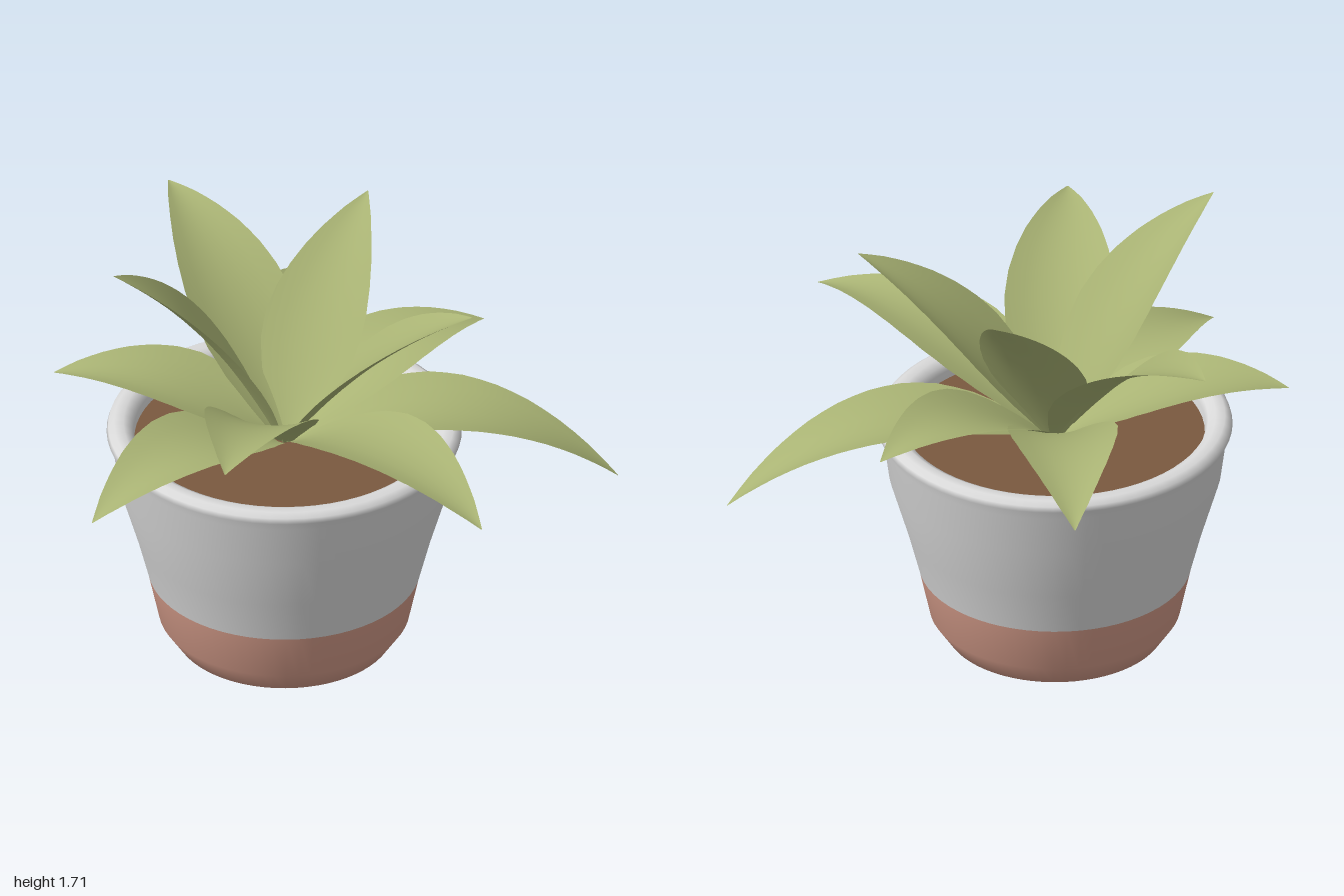
import * as THREE from 'three';

const CX = -0.15, CZ = -0.04; // pot axis

// Half widths from base to tip
const WIDTHS = [0.03, 0.1, 0.16, 0.195, 0.205, 0.195, 0.172, 0.14, 0.1, 0.055, 0.002];

// Leaf tips x, y, z, then height and horizontal fraction of the bend
const LEAVES = [
  [-0.66, 1.71, 0.39, 1.48, 0.4],
  [-0.84, 1.50, -0.62, 1.45, 0.45],
  [-0.05, 1.63, -0.63, 1.38, 0.42],
  [0.59, 1.555, -0.06, 1.37, 0.42],
  [-1.0, 1.06, 0.13, 1.18, 0.5],
  [0.87, 1.05, 0.55, 1.29, 0.5],
  [0.99, 0.69, -0.52, 1.19, 0.55],
  [-0.57, 0.91, 0.83, 1.17, 0.5],
  [0.01, 1.33, 0.96, 1.39, 0.48],
  [-0.42, 1.01, -0.97, 1.28, 0.5],
  [0.36, 1.09, -0.76, 1.24, 0.5],
];

// Arched blade with a shallow channel along its length
function leafGeometry([tx, ty, tz, bendY, bendF]) {
  const base = new THREE.Vector3(CX, 0.86, CZ - 0.01);
  const tip = new THREE.Vector3(tx, ty, tz);
  const dir = new THREE.Vector3(tx - base.x, 0, tz - base.z).normalize();
  base.addScaledVector(dir, 0.02);
  const bend = base.clone().lerp(tip, bendF).setY(bendY);
  const spine = new THREE.QuadraticBezierCurve3(base, bend, tip);
  const side = new THREE.Vector3(dir.z, 0, -dir.x);
  const rows = 20, cols = 6, pos = [], index = [];
  for (let i = 0; i <= rows; i++) {
    const t = i / rows, k = Math.min(t * 10, 9.9999), j = Math.floor(k);
    const half = THREE.MathUtils.lerp(WIDTHS[j], WIDTHS[j + 1], k - j);
    const p = spine.getPoint(t);
    const up = spine.getTangent(t).cross(side).normalize();
    for (let c = 0; c <= cols; c++) {
      const s = (c / cols) * 2 - 1;
      const v = p.clone().addScaledVector(side, s * half)
        .addScaledVector(up, half * 0.22 * (s * s - 0.3));
      pos.push(v.x, v.y, v.z);
      if (i < rows && c < cols) {
        const a = i * (cols + 1) + c, b = a + cols + 1;
        index.push(a, b, a + 1, b, b + 1, a + 1);
      }
    }
  }
  const g = new THREE.BufferGeometry();
  g.setAttribute('position', new THREE.Float32BufferAttribute(pos, 3));
  g.setIndex(index);
  g.computeVertexNormals();
  return g;
}

export function createModel() {
  const model = new THREE.Group();
  const material = (name, color) => {
    const m = new THREE.MeshStandardMaterial({ color });
    m.name = name;
    return m;
  };
  const glaze = material('pale grey glaze', 0xdadada);
  const clay = material('pink clay', 0xd29a88);
  const earth = material('brown soil', 0x7a593f);
  const green = material('leaf green', 0xa9b374);
  green.side = THREE.DoubleSide;

  const add = (name, geometry, mat) => {
    const mesh = new THREE.Mesh(geometry, mat);
    mesh.name = name;
    model.add(mesh);
    return mesh;
  };
  const lathe = (name, profile, mat) => {
    const points = profile.map(([r, y]) => new THREE.Vector2(r, y));
    add(name, new THREE.LatheGeometry(points, 64), mat).position.set(CX, 0, CZ);
  };

  // Pot: bare clay foot, glazed wall with rolled rim and inner lip
  lathe('potFoot', [[0, 0], [0.3, 0], [0.405, 0.03], [0.465, 0.12], [0.505, 0.305]], clay);
  lathe('potWall', [[0.505, 0.305], [0.55, 0.48], [0.615, 0.7], [0.637, 0.865], [0.658, 0.905],
    [0.652, 0.925], [0.63, 0.94], [0.595, 0.94], [0.568, 0.925], [0.558, 0.9], [0.55, 0.82]], glaze);

  // Soil
  const soil = add('soil', new THREE.CircleGeometry(0.556, 64), earth);
  soil.rotation.x = -Math.PI / 2;
  soil.position.set(CX, 0.87, CZ);

  // Rosette of leaves
  LEAVES.forEach((leaf, i) => add(`leaf${i + 1}`, leafGeometry(leaf), green));
  return model;
}
